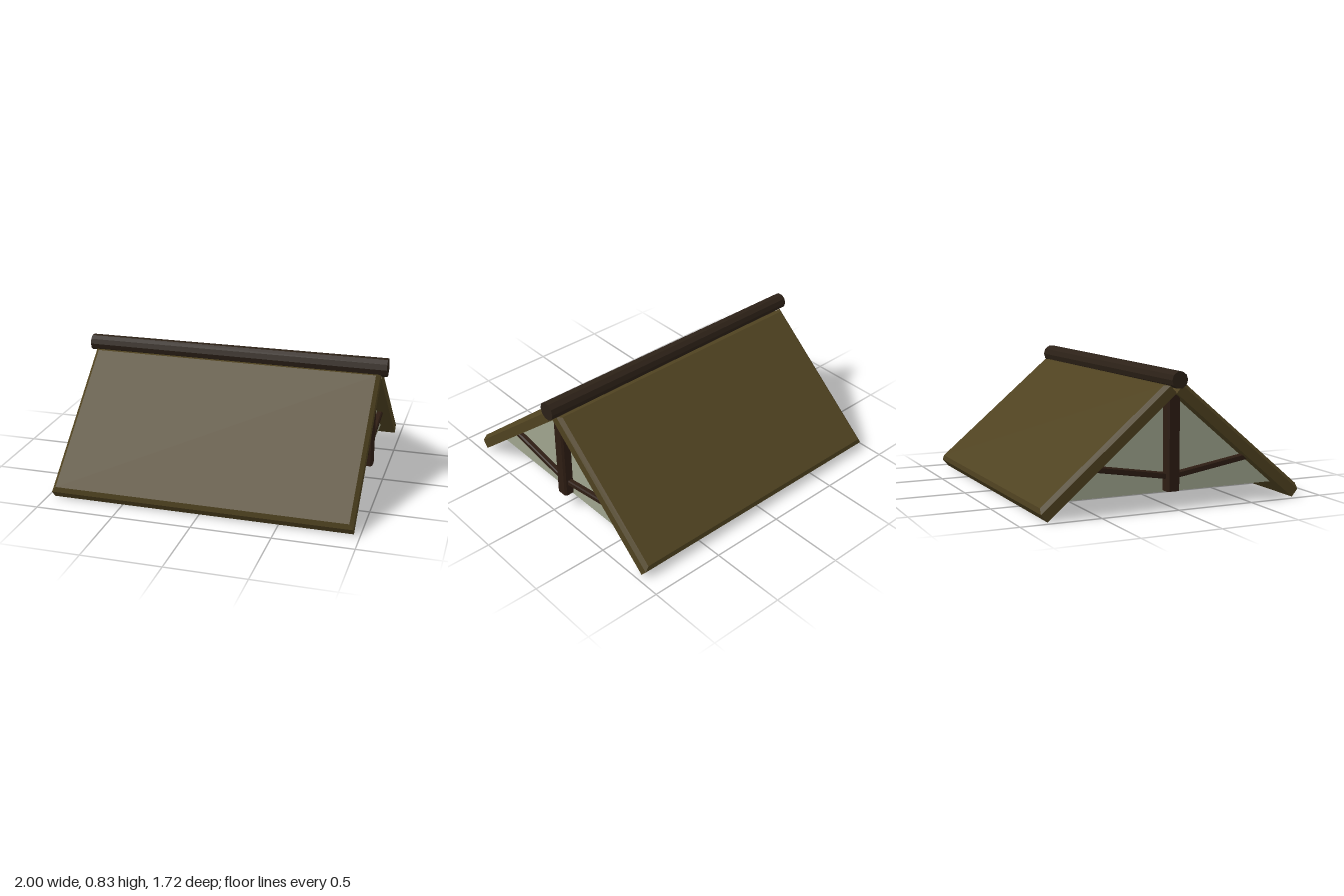
import * as THREE from 'three';

const mat = (color) => new THREE.MeshStandardMaterial({ color, flatShading: true });
const boards = mat(0x4f4220), timber = mat(0x2e1d13), log = mat(0x2c2117), plaster = mat(0xa0a58e);

function mesh(name, geometry, material) {
  const m = new THREE.Mesh(geometry, material);
  m.name = name;
  return m;
}

// Box resting on y = 0 whose upper edges are chamfered
function slabGeometry(width, height, depth, c) {
  const g = new THREE.BoxGeometry(width, height, depth, 1, 2, 1).toNonIndexed();
  g.translate(0, height / 2, 0);
  const p = g.attributes.position;
  for (let i = 0; i < p.count; i++) {
    const y = p.getY(i);
    if (y > height * 0.75) {
      p.setX(i, p.getX(i) - Math.sign(p.getX(i)) * c);
      p.setZ(i, p.getZ(i) - Math.sign(p.getZ(i)) * c);
    } else if (y > height * 0.25) p.setY(i, height - c);
  }
  g.computeVertexNormals();
  return g;
}

// Square beam with chamfered long edges, running between two points
function beam(name, from, to, size, c) {
  const h = size / 2, k = h - c;
  const section = new THREE.Shape([
    [h, -k], [h, k], [k, h], [-k, h], [-h, k], [-h, -k], [-k, -h], [k, -h],
  ].map(([x, y]) => new THREE.Vector2(x, y)));
  const g = new THREE.ExtrudeGeometry(section, { depth: from.distanceTo(to), bevelEnabled: false });
  const m = mesh(name, g, timber);
  m.position.copy(from);
  m.lookAt(to);
  return m;
}

export function createModel() {
  const group = new THREE.Group();
  const V = (x, y, z) => new THREE.Vector3(x, y, z);

  // Two sloping roof panels meeting under the ridge
  const run = 0.82, rise = 0.69;
  const panelGeometry = slabGeometry(1.92, 0.085, Math.hypot(run, rise), 0.024);
  for (const [name, turn] of [['frontRoofPanel', 0], ['backRoofPanel', Math.PI]]) {
    const side = new THREE.Group();
    side.name = name;
    side.rotation.y = turn;
    const panel = mesh(name + 'Boards', panelGeometry, boards);
    panel.rotation.x = Math.atan2(rise, run);
    panel.position.set(0, rise / 2, run / 2);
    side.add(panel);
    group.add(side);
  }

  // Ridge log, slightly thicker at one end
  const ridge = mesh('ridgeLog', new THREE.CylinderGeometry(0.052, 0.06, 2, 10), log);
  ridge.rotation.z = Math.PI / 2;
  ridge.position.y = 0.773;
  group.add(ridge);

  // Solid gable filling
  const triangle = new THREE.Shape([
    new THREE.Vector2(-0.725, 0.09), new THREE.Vector2(0.725, 0.09), new THREE.Vector2(0, 0.695),
  ]);
  const filling = mesh('gableFilling',
    new THREE.ExtrudeGeometry(triangle, { depth: 1.74, bevelEnabled: false }).translate(0, 0, -0.87), plaster);
  filling.rotation.y = Math.PI / 2;
  group.add(filling);

  // Truss on each gable: king post and two braces
  for (const s of [-1, 1]) {
    const truss = new THREE.Group();
    truss.name = s > 0 ? 'leftTruss' : 'rightTruss';
    const x = s * 0.89;
    truss.add(beam('kingPost', V(x, 0.1, 0), V(x, 0.7, 0), 0.085, 0.012));
    for (const d of [-1, 1]) {
      truss.add(beam('brace', V(x, 0.187, 0), V(x, 0.274, d * 0.54), 0.038, 0.007));
    }
    group.add(truss);
  }
  return group;
}
